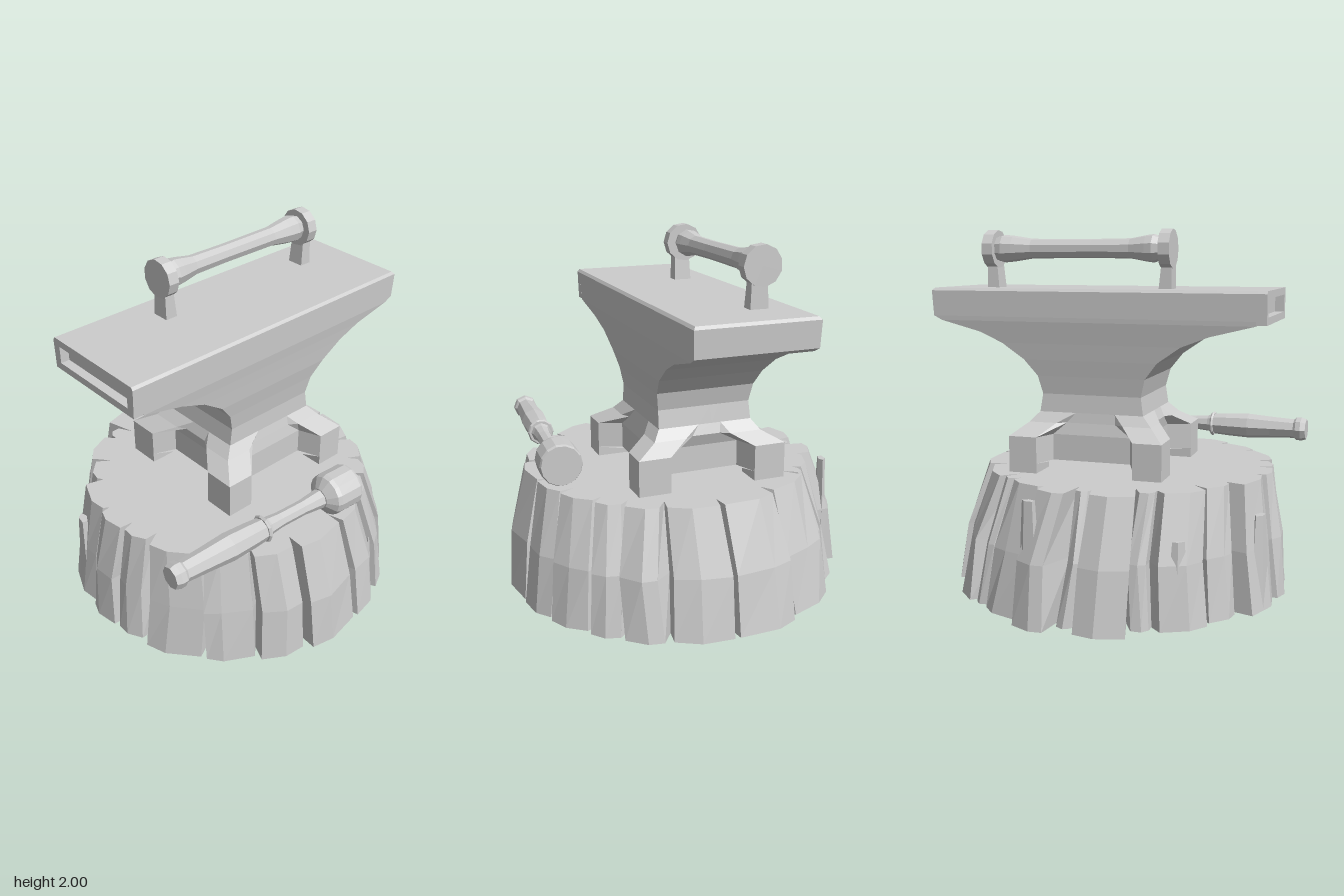
import * as THREE from 'three';

const grey = new THREE.MeshStandardMaterial({ color: 0xcccccc });
grey.name = 'grey';

// Faceted mesh: unshared vertices give flat normals
function part(name, geometry, parent) {
  const g = geometry.index ? geometry.toNonIndexed() : geometry;
  g.computeVertexNormals();
  const mesh = new THREE.Mesh(g, grey);
  mesh.name = name;
  parent.add(mesh);
  return mesh;
}

// Skin through rings of [x, y, z] that run counter-clockwise seen from above
function loft(rings) {
  const pos = [], n = rings[0].length;
  const tri = (...p) => p.forEach(v => pos.push(...v));
  const centre = r => [0, 1, 2].map(k => r.reduce((s, p) => s + p[k], 0) / n);
  const bottom = rings[0], top = rings[rings.length - 1];
  const cb = centre(bottom), ct = centre(top);
  for (let i = 0; i < n; i++) {
    const j = (i + 1) % n;
    for (let k = 0; k + 1 < rings.length; k++) {
      const a = rings[k], b = rings[k + 1];
      tri(a[i], a[j], b[j]);
      tri(a[i], b[j], b[i]);
    }
    tri(cb, bottom[j], bottom[i]);
    tri(ct, top[i], top[j]);
  }
  const g = new THREE.BufferGeometry();
  g.setAttribute('position', new THREE.Float32BufferAttribute(pos, 3));
  return g;
}

// Turned shape along x from [x, radius] pairs
function turned(profile, sides) {
  const pts = profile.map(([x, r]) => new THREE.Vector2(r, x));
  return new THREE.LatheGeometry(pts, sides).rotateZ(-Math.PI / 2);
}

let seed = 7;
const rand = () => (seed = (seed * 16807) % 2147483647) / 2147483647;
const jitter = s => (rand() - 0.5) * 2 * s;

// Bark plates: start angle, end angle, radius at start, radius at end (at the ground)
const BARK = [
  [-22, 0, .93, .92], [2, 22, .92, .90], [25, 38, .91, .92], [40, 50, .90, .93],
  [52, 66, .91, .95], [68, 82, .93, .96], [84, 104, .95, .98], [107, 122, .95, .97],
  [124, 140, .94, .96], [142, 161, .95, .97], [164, 174, .94, .95], [176, 188, .96, .96],
  [190, 207, .94, .97], [210, 222, .89, .90], [224, 240, .93, .92], [243, 249, .88, .88],
  [251, 267, .98, .95], [269, 274, .88, .88], [276, 287, .98, .97], [290, 305, .91, .90],
  [307, 312, .88, .90], [314, 335, .93, .90],
];

function stump() {
  const levels = [[0, 1, 0, 0], [.33, .955, -.015, .01], [.68, .86, -.05, .02]];
  const rings = levels.map(() => []);
  BARK.forEach(([a0, a1, r0, r1], i) => {
    const next = i + 1 < BARK.length ? BARK[i + 1][0] : BARK[0][0] + 360;
    const columns = [
      [a0, r0], [a0 + (a1 - a0) * (.35 + .3 * rand()), (r0 + r1) / 2 + .02], [a1, r1],
      [(a1 + next) / 2, Math.min(r0, r1) - .06 - .04 * rand()],
    ];
    const sway = jitter(1.8);
    columns.forEach(([deg, r]) => levels.forEach(([y, s, dx, dz], k) => {
      const a = (deg + (k === 1 ? sway + jitter(.4) : 0)) * Math.PI / 180;
      const rr = r * s + (k === 1 ? jitter(.015) : 0);
      rings[k].push([Math.cos(a) * rr + dx, y, Math.sin(a) * rr + dz]);
    }));
  });
  return loft(rings.map(r => r.reverse()));
}

// Anvil section: rectangle whose four sides are notched by n, leaving four legs
function section(y, x0, x1, z0, z1, n = 0, a = .16, b = .18, t = .05) {
  return [
    [x0, z1], [x0 + a, z1], [x0 + a + t, z1 - n], [x1 - a - t, z1 - n], [x1 - a, z1],
    [x1, z1], [x1, z1 - b], [x1 - n, z1 - b - t], [x1 - n, z0 + b + t], [x1, z0 + b],
    [x1, z0], [x1 - a, z0], [x1 - a - t, z0 + n], [x0 + a + t, z0 + n], [x0 + a, z0],
    [x0, z0], [x0, z0 + b], [x0 + n, z0 + b + t], [x0 + n, z1 - b - t], [x0, z1 - b],
  ].map(([x, z]) => [x, y, z]);
}

function anvil() {
  const g = new THREE.Group();
  g.name = 'anvil';
  part('anvilBody', loft([
    section(.735, -.37, .495, -.45, .40, .13),
    section(.88, -.37, .495, -.45, .40, .13),
    section(.945, -.28, .42, -.335, .285, .03),
    section(1.0, -.225, .37, -.297, .242),
    section(1.1, -.21, .355, -.29, .24),
    section(1.2, -.235, .38, -.305, .255),
    section(1.29, -.305, .455, -.32, .272),
    section(1.38, -.435, .58, -.333, .282),
    section(1.44, -.59, .71, -.343, .29),
    section(1.5, -.83, .935, -.353, .299),
    section(1.525, -.84, .983, -.355, .30),
    section(1.665, -.84, .99, -.36, .305),
    section(1.68, -.84, .975, -.348, .293),
  ]), g);

  // Open-fronted end with a shallow slot
  const end = new THREE.Shape([[-.355, 1.505], [.30, 1.505], [.305, 1.665], [.293, 1.68], [-.348, 1.68], [-.36, 1.665]]
    .map(p => new THREE.Vector2(...p)));
  end.holes.push(new THREE.Path([[-.31, 1.545], [-.31, 1.64], [.255, 1.64], [.255, 1.545]]
    .map(p => new THREE.Vector2(...p))));
  const frame = new THREE.ExtrudeGeometry(end, { depth: .055, bevelEnabled: false });
  part('anvilEndFrame', frame.rotateY(-Math.PI / 2).translate(-.835, 0, 0), g);

  // Feet below the arches
  for (const sx of [-1, 1]) for (const sz of [-1, 1]) {
    const foot = new THREE.BoxGeometry(.16, .06, .18);
    foot.translate(.0625 + sx * .3525, .708, -.025 + sz * .335);
    part('anvilFoot', foot, g);
  }
  return g;
}

function carryHandle() {
  const g = new THREE.Group();
  g.name = 'topHandle';
  part('handleBar', turned([
    [-.31, .06], [-.29, .062], [-.25, .077], [-.21, .072], [-.12, .055], [.1, .052],
    [.45, .055], [.56, .072], [.62, .078], [.67, .065],
  ], 9), g).position.set(0, 1.895, -.18);
  for (const [x, s] of [[-.325, 1], [.687, -1]]) {
    const disc = new THREE.CylinderGeometry(.106, .106, .062, 11).rotateZ(Math.PI / 2);
    part('handleEndDisc', disc.translate(x, 1.893, -.175), g);
    // Stem spreading slightly at its foot
    const stem = y => [[-.05, 1], [.05, 1], [.05, -1], [-.05, -1]].map(([dx, sz]) => {
      const half = y < 1.7 ? .036 : .028;
      return [x + Math.sign(dx) * half + (y < 1.7 ? s * .006 : 0), y, -.16 + sz * (y < 1.7 ? .05 : .044)];
    });
    part('handleStem', loft([stem(1.67), stem(1.82)]), g);
  }
  return g;
}

function mallet() {
  const g = new THREE.Group();
  g.name = 'mallet';
  part('malletHandle', turned([
    [-1.2, 0], [-1.2, .062], [-1.17, .072], [-1.14, .07], [-1.125, .058], [-.98, .066],
    [-.84, .076], [-.7, .07], [-.62, .064], [-.58, .05], [-.5, .042], [-.34, .042],
    [-.24, .052], [-.15, .06],
  ], 8), g);
  part('malletCollar', turned([[-.622, 0], [-.622, .07], [-.612, .077], [-.602, .07], [-.602, 0]], 10), g);
  part('malletHead', turned([[-.215, 0], [-.215, .058], [-.175, .112], [-.15, .119], [-.015, .119], [0, .112], [0, 0]], 14), g);
  g.position.set(.205, .803, .735);
  g.rotation.y = -.062;
  return g;
}

export function createModel() {
  const model = new THREE.Group();
  model.name = 'anvilOnStump';
  part('stump', stump(), model);

  // Loose bark slivers: angle, height, radius, width
  for (const [deg, h, r, w] of [[199, .51, .92, .09], [66, .38, .88, .05], [118, .2, .93, .06], [284, .64, .88, .08], [233, .45, .88, .07]]) {
    const chip = new THREE.CylinderGeometry(w * .5, w, h, 5);
    const mesh = part('barkChip', chip, model);
    const a = deg * Math.PI / 180;
    mesh.position.set(Math.cos(a) * r, h / 2, Math.sin(a) * r);
    mesh.scale.x = .55;
    mesh.rotation.y = -a;
  }

  model.add(anvil(), carryHandle(), mallet());
  return model;
}
